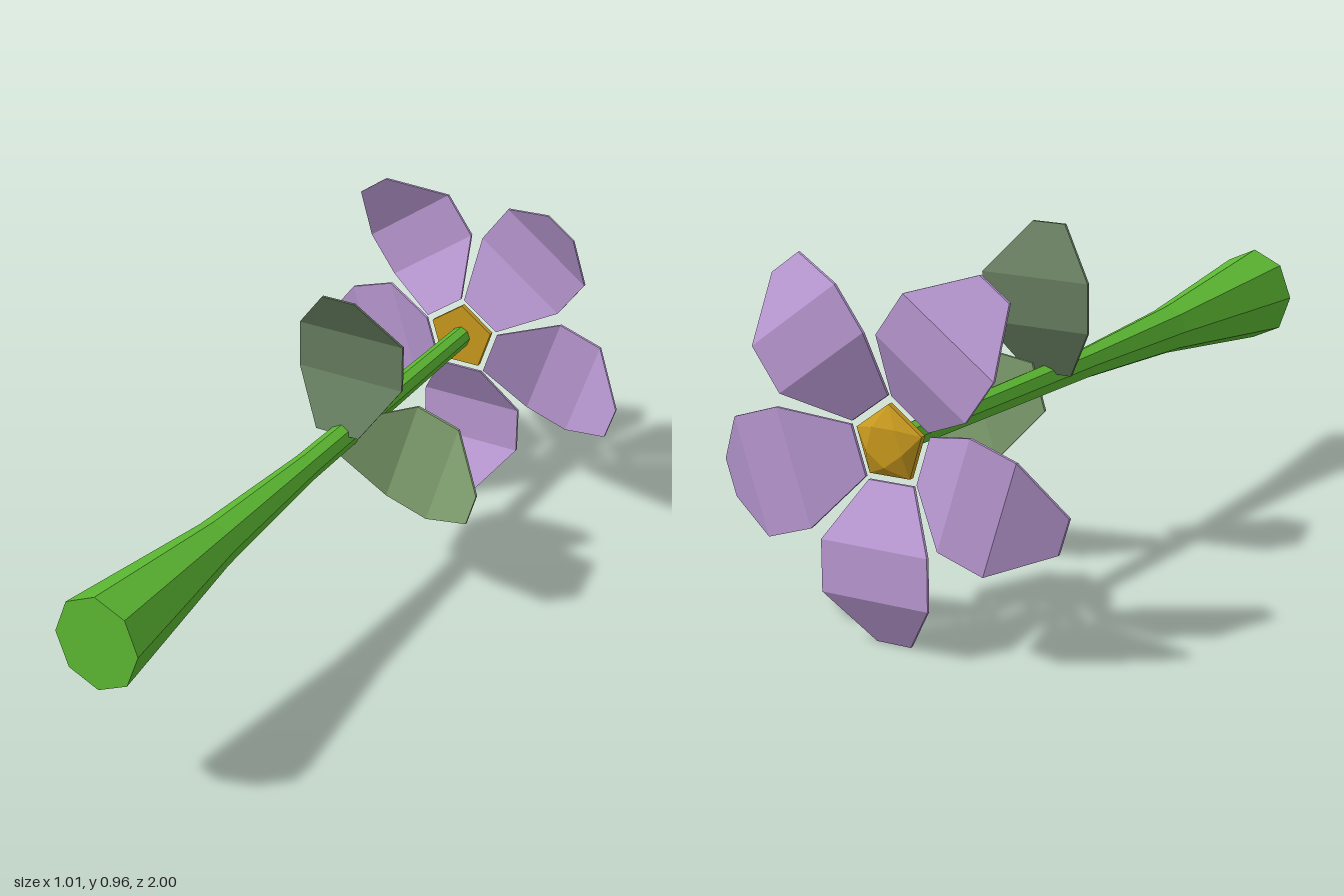
import * as THREE from 'three';
import { ConvexGeometry } from 'three/addons/geometries/ConvexGeometry.js';

const AXIS_Y = 0.514;

function material(color) {
  const m = new THREE.MeshStandardMaterial({ color });
  m.flatShading = true;
  return m;
}

// Folded thin blade growing along +y: a box whose four rows are moved to [half width, y, z].
function bladeGeometry(rows, thickness) {
  const geo = new THREE.BoxGeometry(2, 3, 1, 1, 3, 1);
  const p = geo.attributes.position;
  for (let i = 0; i < p.count; i++) {
    const [halfWidth, y, z] = rows[Math.round(p.getY(i) + 1.5)];
    p.setXYZ(i, p.getX(i) * halfWidth, y, z + p.getZ(i) * thickness);
  }
  geo.computeVertexNormals();
  return geo;
}

export function createModel() {
  const model = new THREE.Group();
  model.name = 'flower';

  const add = (name, geometry, mat, x = 0, y = 0, z = 0, turn = 0) => {
    const mesh = new THREE.Mesh(geometry, mat);
    mesh.name = name;
    mesh.position.set(x, y, z);
    mesh.rotation.z = turn;
    model.add(mesh);
    return mesh;
  };

  // Tapered eight-sided stem lying along z
  const profile = [[0, -0.915], [0.032, -0.915], [0.042, 0], [0.068, 0.46], [0.134, 1], [0, 1]];
  const stem = new THREE.LatheGeometry(profile.map(([r, y]) => new THREE.Vector2(r, y)), 8);
  stem.rotateX(Math.PI / 2);
  stem.scale(0.9, 1, 1);
  add('stem', stem, material(0x5cb832), 0, AXIS_Y, 0);

  // Five petals around the end of the stem
  const petal = bladeGeometry(
    [[0.066, 0, 0], [0.155, 0.145, -0.08], [0.155, 0.28, -0.08], [0.05, 0.414, 0]], 0.008);
  const petalMaterial = material(0xb898d2);
  for (let i = 0; i < 5; i++) {
    const turn = Math.PI + i * Math.PI * 2 / 5;
    add('petal' + (i + 1), petal, petalMaterial,
      -Math.sin(turn) * 0.1, AXIS_Y + Math.cos(turn) * 0.1, -0.916, turn);
  }

  // Faceted five-sided centre, raised towards the back
  const points = [];
  for (const [r, z, offset] of [[0.1, -0.91, 0], [0.1, -0.925, 0], [0.055, -0.95, Math.PI / 5]]) {
    for (let i = 0; i < 5; i++) {
      const a = Math.PI / 2 + offset + i * Math.PI * 2 / 5;
      points.push(new THREE.Vector3(Math.cos(a) * r, Math.sin(a) * r, z));
    }
  }
  add('flowerCentre', new ConvexGeometry(points), material(0xc8991e), 0, AXIS_Y, 0);

  // Two folded leaves on the stem
  const leaf = bladeGeometry(
    [[0.066, 0, 0], [0.16, 0.14, -0.072], [0.16, 0.272, -0.072], [0.049, 0.405, 0]], 0.008);
  add('upperLeaf', leaf, material(0x667d5f), -0.007, 0.53, -0.19, 0);
  add('sideLeaf', leaf, material(0x83a372), 0.002, 0.5, -0.23, -Math.PI / 2 - 0.295);

  return model;
}
